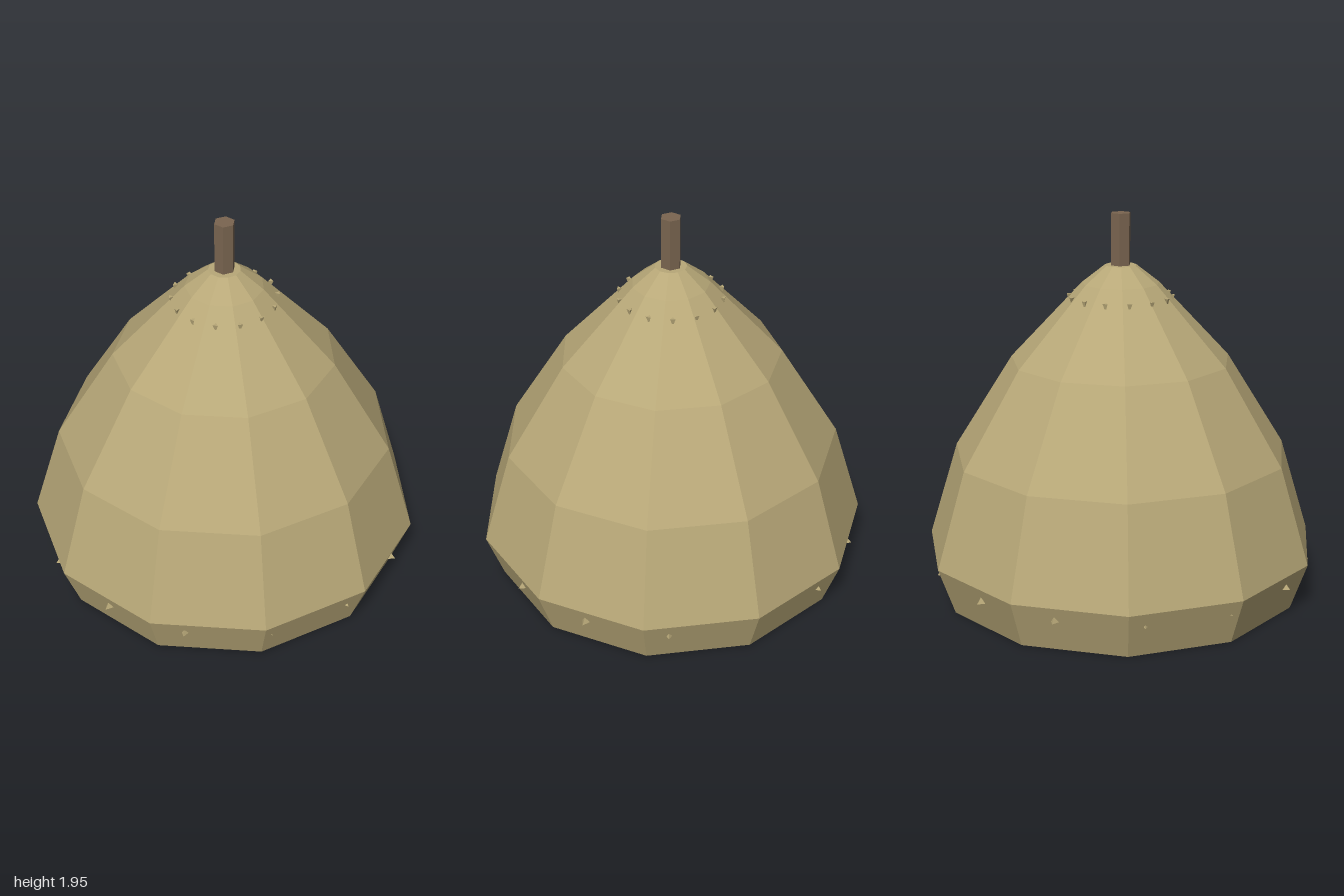
import * as THREE from 'three';

const AXIS_X = -0.02; // the 11-sided body is centred by its bounds, so its axis sits slightly off x = 0

function mat(color) {
  return new THREE.MeshStandardMaterial({ color, flatShading: true });
}

// Ring of small three-sided pegs around the body
function pegRing(name, { count, radius, y, offset, size, height, down }, material) {
  const ring = new THREE.Group();
  ring.name = name;
  const geometry = new THREE.ConeGeometry(size, height, 3);
  if (down) geometry.rotateX(Math.PI);
  for (let i = 0; i < count; i++) {
    const a = offset + (i / count) * Math.PI * 2;
    const peg = new THREE.Mesh(geometry, material);
    peg.name = 'peg';
    peg.position.set(Math.cos(a) * radius, y, Math.sin(a) * radius);
    peg.rotation.y = Math.PI / 2 - a;
    ring.add(peg);
  }
  return ring;
}

export function createModel() {
  const model = new THREE.Group();
  model.name = 'thatchedDome';
  const straw = mat(0xb8a878);
  const wood = mat(0x7a6550);

  // Faceted dome, closed at the base and the top
  const profile = [
    [0, 0], [0.925, 0], [1.01, 0.24], [0.86, 0.73],
    [0.56, 1.21], [0.195, 1.6], [0.08, 1.69], [0, 1.69],
  ].map(([r, y]) => new THREE.Vector2(r, y));
  const dome = new THREE.Mesh(new THREE.LatheGeometry(profile, 11, Math.PI / 2), straw);
  dome.name = 'dome';

  // Hexagonal pole at the peak
  const pole = new THREE.Mesh(new THREE.CylinderGeometry(0.052, 0.052, 0.28, 6), wood);
  pole.name = 'pole';
  pole.position.y = 1.81;

  // Pegs below the peak and around the skirt
  const upperPegs = pegRing('upperPegs', {
    count: 14, radius: 0.262, y: 1.522, offset: -0.045, size: 0.015, height: 0.04, down: true,
  }, straw);
  const lowerPegs = pegRing('lowerPegs', {
    count: 14, radius: 0.955, y: 0.18, offset: 0, size: 0.025, height: 0.03, down: false,
  }, straw);

  model.add(dome, pole, upperPegs, lowerPegs);
  model.children.forEach((part) => { part.position.x = AXIS_X; });
  return model;
}
